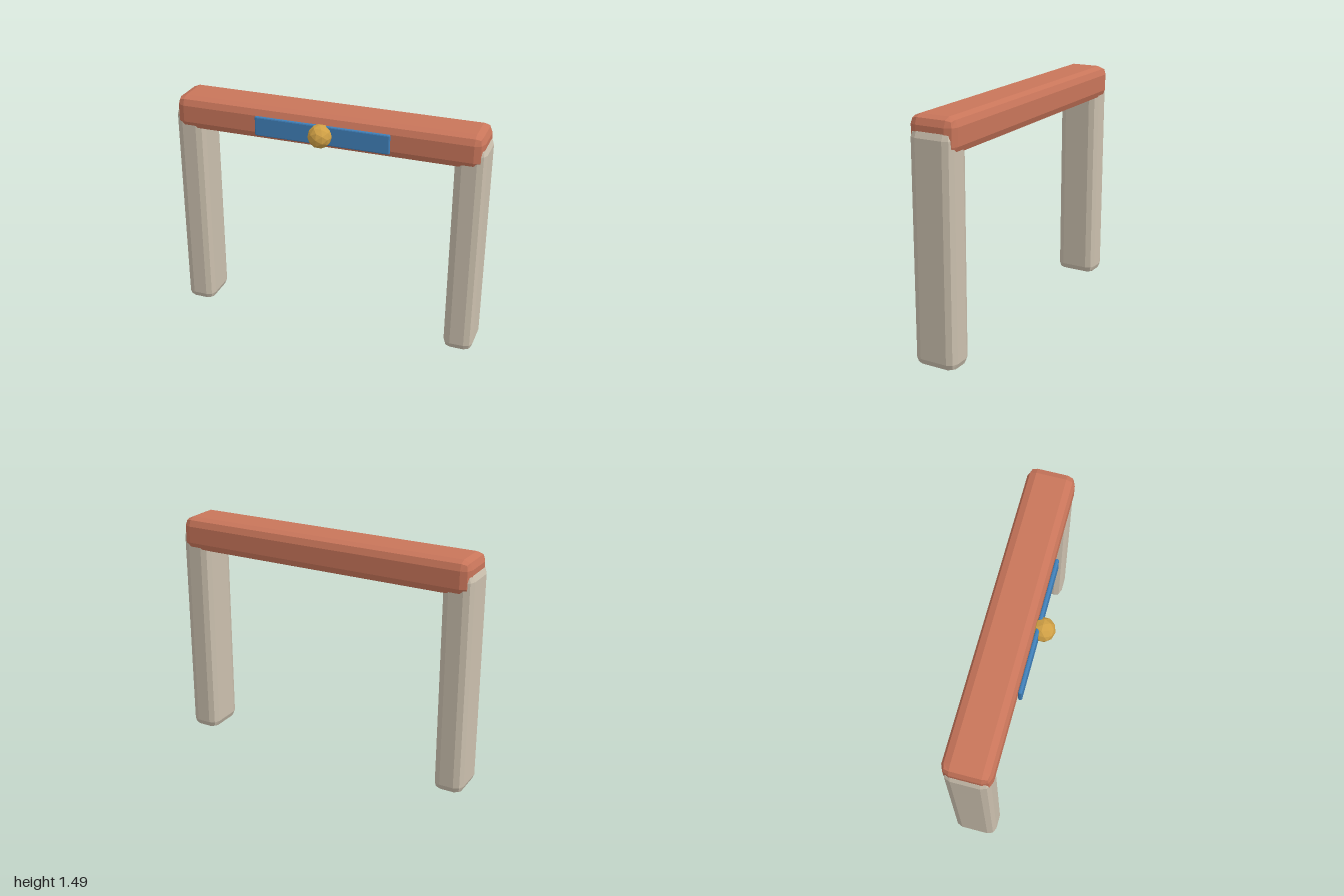
import * as THREE from 'three';
import { RoundedBoxGeometry } from 'three/addons/geometries/RoundedBoxGeometry.js';

function material(name, color) {
  const m = new THREE.MeshStandardMaterial({ color, flatShading: true });
  m.name = name;
  return m;
}

// Bevelled block given by its extents on each axis
function block(name, mat, [x0, x1], [y0, y1], [z0, z1], bevel) {
  const mesh = new THREE.Mesh(new RoundedBoxGeometry(x1 - x0, y1 - y0, z1 - z0, 1, bevel), mat);
  mesh.position.set((x0 + x1) / 2, (y0 + y1) / 2, (z0 + z1) / 2);
  mesh.name = name;
  return mesh;
}

export function createModel() {
  const group = new THREE.Group();
  group.name = 'gateway';

  const stone = material('pale stone', 0xcabfad);
  const clay = material('terracotta', 0xc8755a);
  const blue = material('blue', 0x3f7fb8);
  const gold = material('gold', 0xd0a045);

  // Two posts
  group.add(block('leftPost', stone, [0.81, 1], [0, 1.415], [-0.194, 0.08], 0.05));
  group.add(block('rightPost', stone, [-1, -0.81], [0, 1.415], [-0.194, 0.08], 0.05));

  // Lintel resting over the posts
  group.add(block('lintel', clay, [-0.985, 0.985], [1.273, 1.49], [-0.206, 0.09], 0.055));

  // Sign plate on the front of the lintel
  group.add(block('signPlate', blue, [-0.432, 0.432], [1.316, 1.441], [0.095, 0.118], 0.008));

  // Faceted boss in the middle of the plate
  const boss = new THREE.Mesh(new THREE.IcosahedronGeometry(0.075, 1), gold);
  boss.position.set(0, 1.38, 0.131);
  boss.name = 'boss';
  group.add(boss);

  return group;
}
